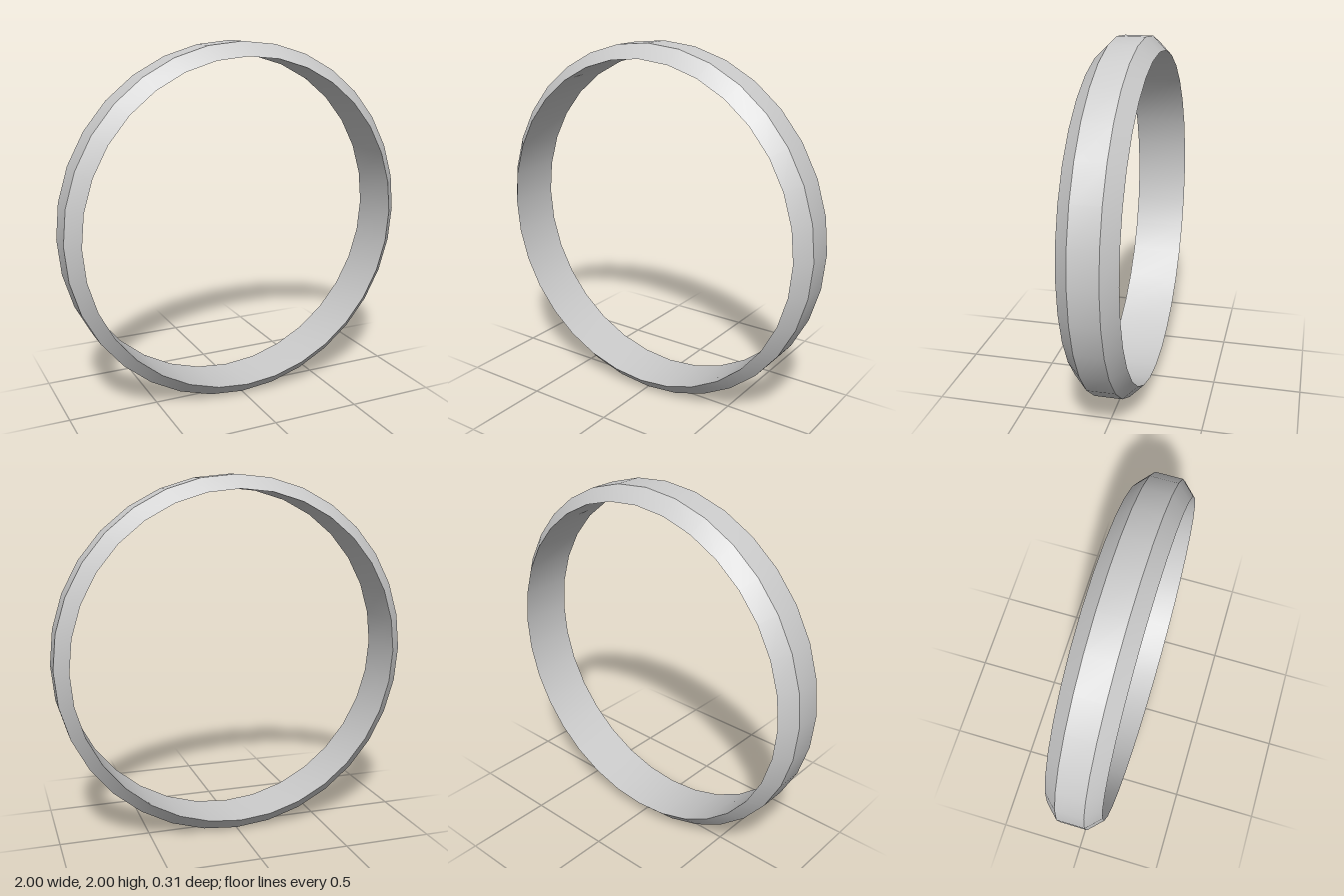
import * as THREE from 'three';
import { toCreasedNormals } from 'three/addons/utils/BufferGeometryUtils.js';

const SEGMENTS = 32;
const OUTER = 1, INNER = 0.925;          // radii
const HALF_WIDTH = 0.153, HALF_FLAT = 0.077; // half depth of ring and of its outer flat

export function createModel() {
  const group = new THREE.Group();
  group.name = 'ring';

  // Closed cross-section: chamfer, outer flat, chamfer, straight inner wall
  const profile = [
    [INNER, -HALF_WIDTH],
    [OUTER, -HALF_FLAT],
    [OUTER, HALF_FLAT],
    [INNER, HALF_WIDTH],
    [INNER, -HALF_WIDTH],
  ].map(([r, d]) => new THREE.Vector2(r, d));

  // Turn the axis to face the front; smooth around, sharp between bands
  const lathe = new THREE.LatheGeometry(profile, SEGMENTS).rotateX(Math.PI / 2);
  const band = new THREE.Mesh(
    toCreasedNormals(lathe, Math.PI / 6),
    new THREE.MeshStandardMaterial({ color: 0xcccccc })
  );
  band.name = 'bevelledBand';
  band.position.y = OUTER;
  group.add(band);

  return group;
}
